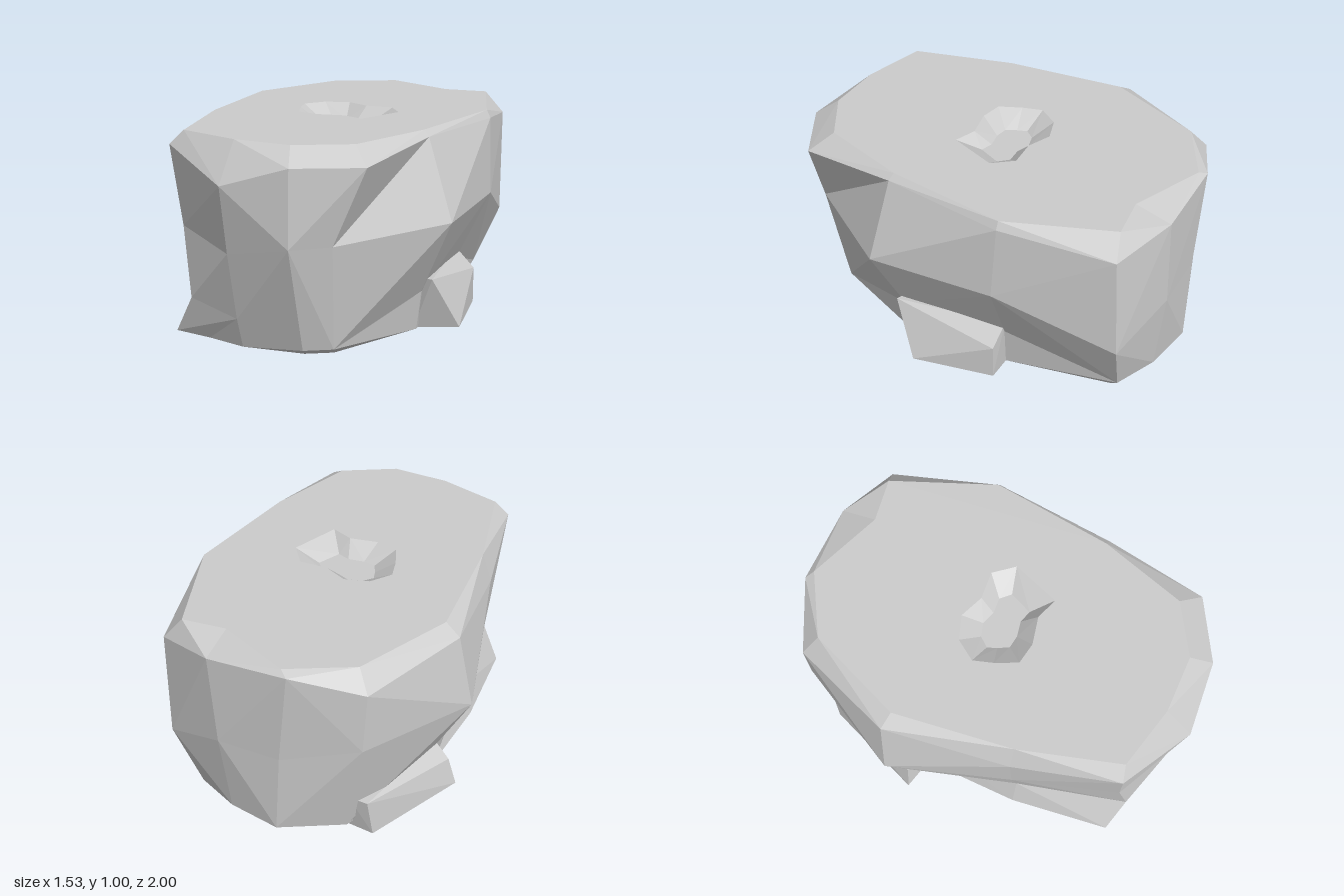
import * as THREE from 'three';
import { ConvexGeometry } from 'three/addons/geometries/ConvexGeometry.js';

const material = new THREE.MeshStandardMaterial({ color: 0xcccccc, flatShading: true });

function add(group, name, geometry) {
  const mesh = new THREE.Mesh(geometry, material);
  mesh.name = name;
  group.add(mesh);
}

// True when d lies outside the plane through a, b, c
function sticksOut(a, b, c, d) {
  const [p, q, r, s] = [a, b, c, d].map((v) => new THREE.Vector3(...v));
  return q.sub(p).cross(r.sub(p)).dot(s.sub(p)) > 0;
}

// Skins neighbouring closed rings of [x, y, z] points, splitting each quad along its
// convex diagonal, except at the [ring, column] folds, which crease inward
function loft(rings, folds = []) {
  const pos = [];
  const n = rings[0].length;
  for (let r = 0; r < rings.length - 1; r++) {
    for (let i = 0; i < n; i++) {
      const j = (i + 1) % n;
      const a = rings[r][i], b = rings[r][j], c = rings[r + 1][j], d = rings[r + 1][i];
      const folded = folds.some(([fr, fi]) => fr === r && fi === i);
      if (sticksOut(a, b, c, d) && !folded) pos.push(...a, ...b, ...d, ...b, ...c, ...d);
      else pos.push(...a, ...b, ...c, ...a, ...c, ...d);
    }
  }
  const g = new THREE.BufferGeometry();
  g.setAttribute('position', new THREE.Float32BufferAttribute(pos, 3));
  g.computeVertexNormals();
  return g;
}

// Flat cap through a ring, facing up, with an optional hole
function cap(ring, y, hole) {
  const flat = (pts) => pts.map(([x, , z]) => new THREE.Vector2(x, -z));
  const shape = new THREE.Shape(flat(ring));
  if (hole) shape.holes.push(new THREE.Path(flat(hole)));
  return new THREE.ShapeGeometry(shape).rotateX(-Math.PI / 2).translate(0, y, 0);
}

function hull(points) {
  return new ConvexGeometry(points.map((p) => new THREE.Vector3(...p)));
}

export function createModel() {
  const group = new THREE.Group();
  group.name = 'rock';

  // Columns around the rock, each running foot, waist, shoulder, rim
  const columns = [
    [[-0.08, 0.15, 0.88], [-0.09, 0.48, 0.94], [-0.09, 0.81, 1.0], [-0.09, 1, 0.86]],
    [[0.24, 0.03, 0.83], [0.25, 0.55, 0.98], [0.25, 0.92, 0.97], [0.2, 1, 0.86]],
    [[0.36, 0.03, 0.75], [0.4, 0.55, 0.84], [0.55, 0.92, 0.8], [0.45, 1, 0.71]],
    [[0.58, 0.2, 0.25], [0.76, 0.58, 0.32], [0.62, 0.97, 0.28], [0.59, 1, 0.27]],
    [[0.54, 0.22, -0.3], [0.71, 0.58, -0.32], [0.69, 0.96, -0.34], [0.67, 1, -0.34]],
    [[0.42, 0.04, -0.86], [0.55, 0.35, -0.9], [0.56, 0.89, -0.88], [0.47, 1, -0.85]],
    [[0.2, 0.04, -0.95], [0.22, 0.48, -1.0], [0.25, 0.95, -1.0], [0.25, 1, -0.82]],
    [[-0.07, 0.04, -0.99], [-0.1, 0.48, -0.99], [-0.16, 0.98, -1.0], [-0.12, 1, -0.97]],
    [[-0.36, 0.04, -0.82], [-0.47, 0.58, -0.87], [-0.49, 0.9, -0.86], [-0.42, 1, -0.8]],
    [[-0.57, 0.2, -0.27], [-0.77, 0.57, -0.32], [-0.7, 0.95, -0.34], [-0.62, 1, -0.32]],
    [[-0.49, 0.17, 0.27], [-0.58, 0.56, 0.28], [-0.6, 0.86, 0.28], [-0.55, 1, 0.28]],
    [[-0.36, 0.2, 0.83], [-0.42, 0.54, 0.79], [-0.48, 0.93, 0.8], [-0.41, 1, 0.78]],
  ];
  const rings = [0, 1, 2, 3].map((level) => columns.map((c) => c[level]));
  const base = rings[0].map(([x, , z]) => [x * 0.95, 0, z * 0.95]);
  add(group, 'body', loft([base, ...rings], [[2, 2], [2, 11]]));

  // Underside, turned to face down
  add(group, 'underside', cap(base.map(([x, , z]) => [x, 0, -z]).reverse(), 0).rotateX(Math.PI));

  // Shallow hollow in the flat top, its rings reversed so the wall faces inward
  const hollow = [
    [-0.2, 0.02], [-0.23, -0.08], [-0.16, -0.18], [-0.04, -0.22], [0.08, -0.17], [0.22, -0.18],
    [0.3, -0.08], [0.21, 0.16], [0.1, 0.12], [-0.04, 0.15], [-0.15, 0.13],
  ].map(([x, z]) => [x, 1, z]);
  const floor = hollow.map(([x, , z]) => [0.03 + (x - 0.03) * 0.57, 0.93, -0.03 + (z + 0.03) * 0.48]);
  add(group, 'top', cap(rings[3], 1, hollow));
  add(group, 'hollowWall', loft([floor, hollow]));
  add(group, 'hollowFloor', cap(floor, 0.93));

  // Wedge-shaped spurs along the foot of the rock
  add(group, 'leftSpur', hull([
    [0.73, 0, 0.12], [0.64, 0, -0.29], [0.64, 0.18, -0.29], [0.64, 0.27, 0.26], [0.54, 0.27, -0.3],
    [0.53, 0, 0.22], [0.45, 0, -0.29], [0.45, 0.25, 0.2], [0.45, 0.25, -0.29],
  ]));
  add(group, 'rightSpur', hull([
    [-0.69, 0, -0.27], [-0.65, 0.15, -0.28], [-0.57, 0.23, -0.27], [-0.48, 0, -0.78],
    [-0.46, 0.2, -0.8], [-0.36, 0.2, -0.8], [-0.34, 0, -0.77], [-0.5, 0, -0.22], [-0.45, 0.2, -0.25],
  ]));
  add(group, 'frontSpur', hull([
    [-0.48, 0, 0.78], [-0.36, 0.2, 0.83], [-0.49, 0.17, 0.27], [-0.54, 0, 0.27],
    [-0.53, 0, -0.12], [-0.49, 0.15, -0.1], [-0.07, 0, 0.82], [-0.08, 0.15, 0.88], [-0.2, 0, 0.3],
  ]));
  return group;
}
